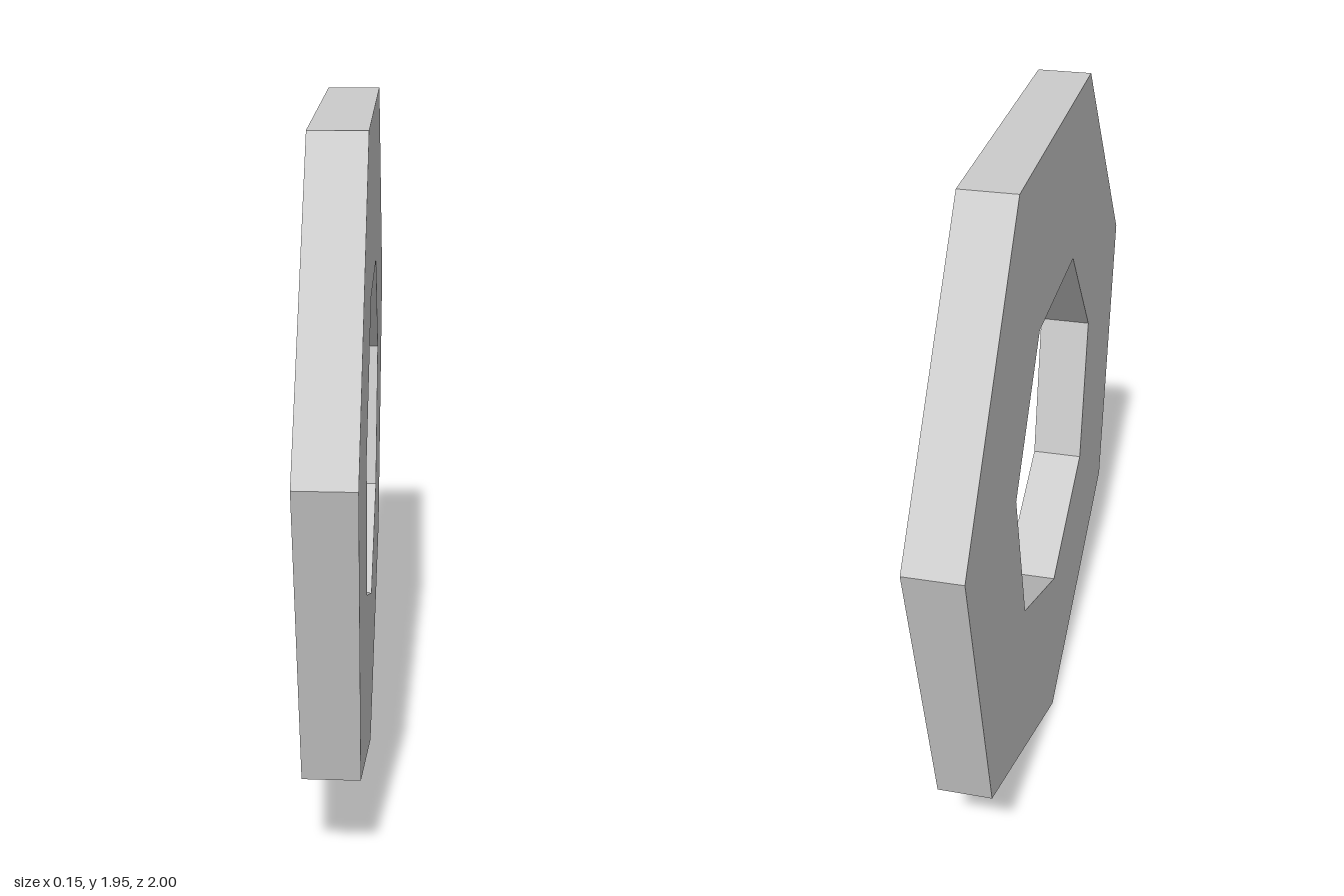
import * as THREE from 'three';

const SIDES = 7;
const OUTER = 1 / Math.sin((6 * Math.PI) / SIDES / 2 * 1) === 0 ? 1 : 1 / Math.cos(Math.PI / (2 * SIDES));
const INNER = OUTER / 2;
const THICKNESS = 0.15;

// Regular polygon with one corner pointing straight down
function polygon(radius) {
  return Array.from({ length: SIDES }, (_, i) => {
    const a = (i / SIDES) * Math.PI * 2 - Math.PI / 2;
    return new THREE.Vector2(Math.cos(a) * radius, Math.sin(a) * radius);
  });
}

export function createModel() {
  const group = new THREE.Group();
  group.name = 'heptagonalRing';

  // Flat seven-sided plate with a matching seven-sided hole
  const outline = new THREE.Shape(polygon(OUTER));
  outline.holes.push(new THREE.Path(polygon(INNER)));
  const geometry = new THREE.ExtrudeGeometry(outline, { depth: THICKNESS, bevelEnabled: false });

  // Centre the thickness, turn the plate to face sideways, stand it on its corner
  geometry.translate(0, 0, -THICKNESS / 2);
  geometry.rotateY(Math.PI / 2);
  geometry.translate(0, OUTER, 0);

  const ring = new THREE.Mesh(
    geometry,
    new THREE.MeshStandardMaterial({ color: 0xcccccc, flatShading: true })
  );
  ring.name = 'ring';
  group.add(ring);
  return group;
}
